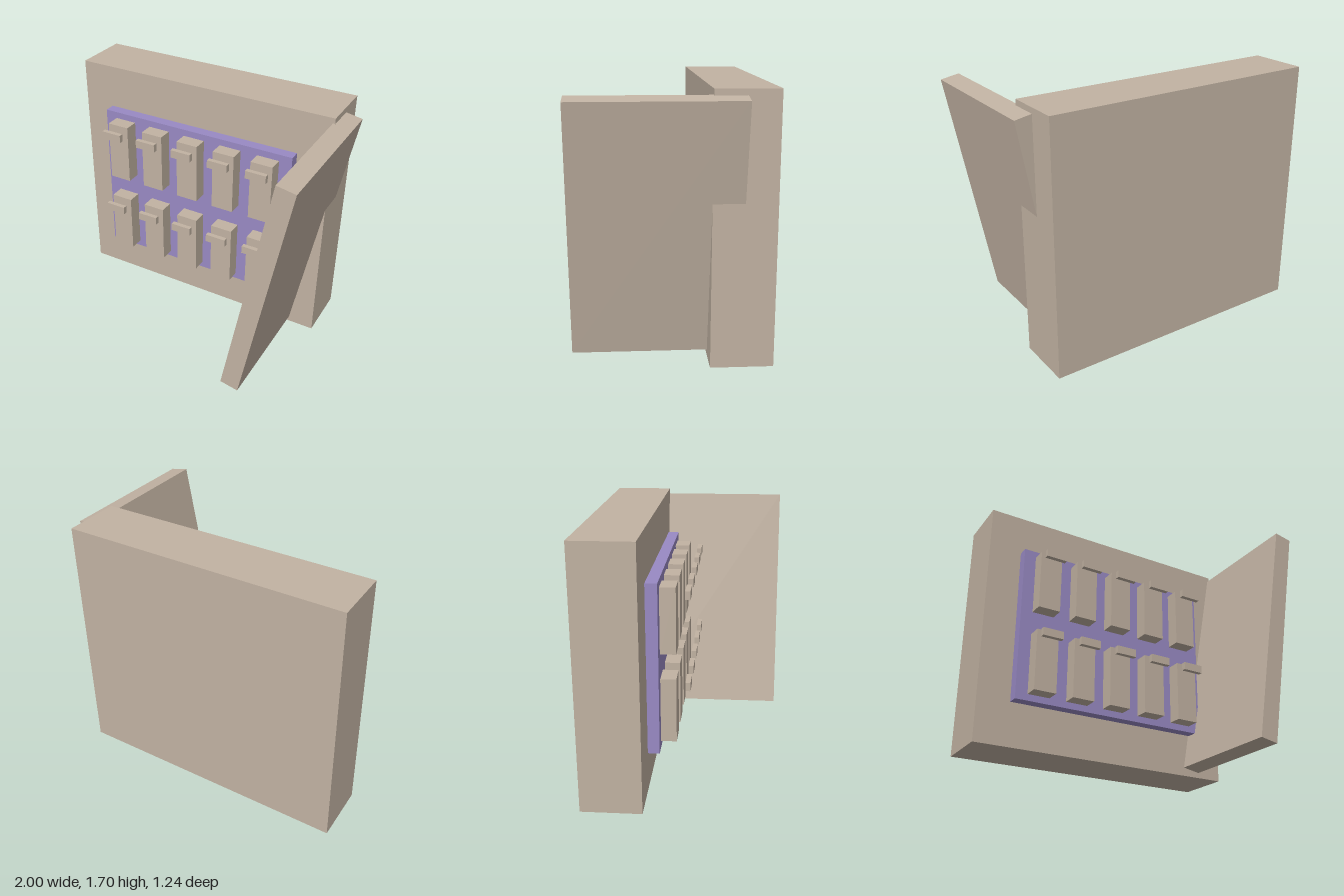
import * as THREE from 'three';

const tan = new THREE.MeshStandardMaterial({ color: 0xc1b2a2, flatShading: true });
const purple = new THREE.MeshStandardMaterial({ color: 0x998ac4, flatShading: true });

// Box given by its extents along each axis
function block(name, [x0, x1], [y0, y1], [z0, z1], material = tan) {
  const mesh = new THREE.Mesh(new THREE.BoxGeometry(x1 - x0, y1 - y0, z1 - z0), material);
  mesh.name = name;
  mesh.position.set((x0 + x1) / 2, (y0 + y1) / 2, (z0 + z1) / 2);
  return mesh;
}

export function createModel() {
  const group = new THREE.Group();
  group.name = 'breakerBox';

  // Cabinet and the mounting panel floating just in front of it
  group.add(block('cabinet', [-1, 0.885], [0, 1.695], [-0.62, -0.23]));
  group.add(block('panel', [-0.775, 0.66], [0.297, 1.4], [-0.22, -0.145], purple));

  // Two rows of five breakers, each with a separate switch handle
  for (const y of [0.342, 0.93]) {
    for (let i = 0; i < 5; i++) {
      const x = -0.613 + i * 0.2765;
      const breaker = new THREE.Group();
      breaker.name = 'breaker';
      breaker.add(block('breakerBody', [x - 0.078, x + 0.078], [y, y + 0.424], [-0.145, -0.045]));
      breaker.add(block('switchHandle', [x - 0.073, x + 0.073], [y + 0.347, y + 0.402], [0.01, 0.042]));
      group.add(breaker);
    }
  }

  // Open door, leaning outward at the top
  const door = block('door', [0.724, 0.851], [0.0355, 1.6615], [-0.425, 0.617]);
  door.rotation.z = -0.18;
  group.add(door);

  return group;
}
